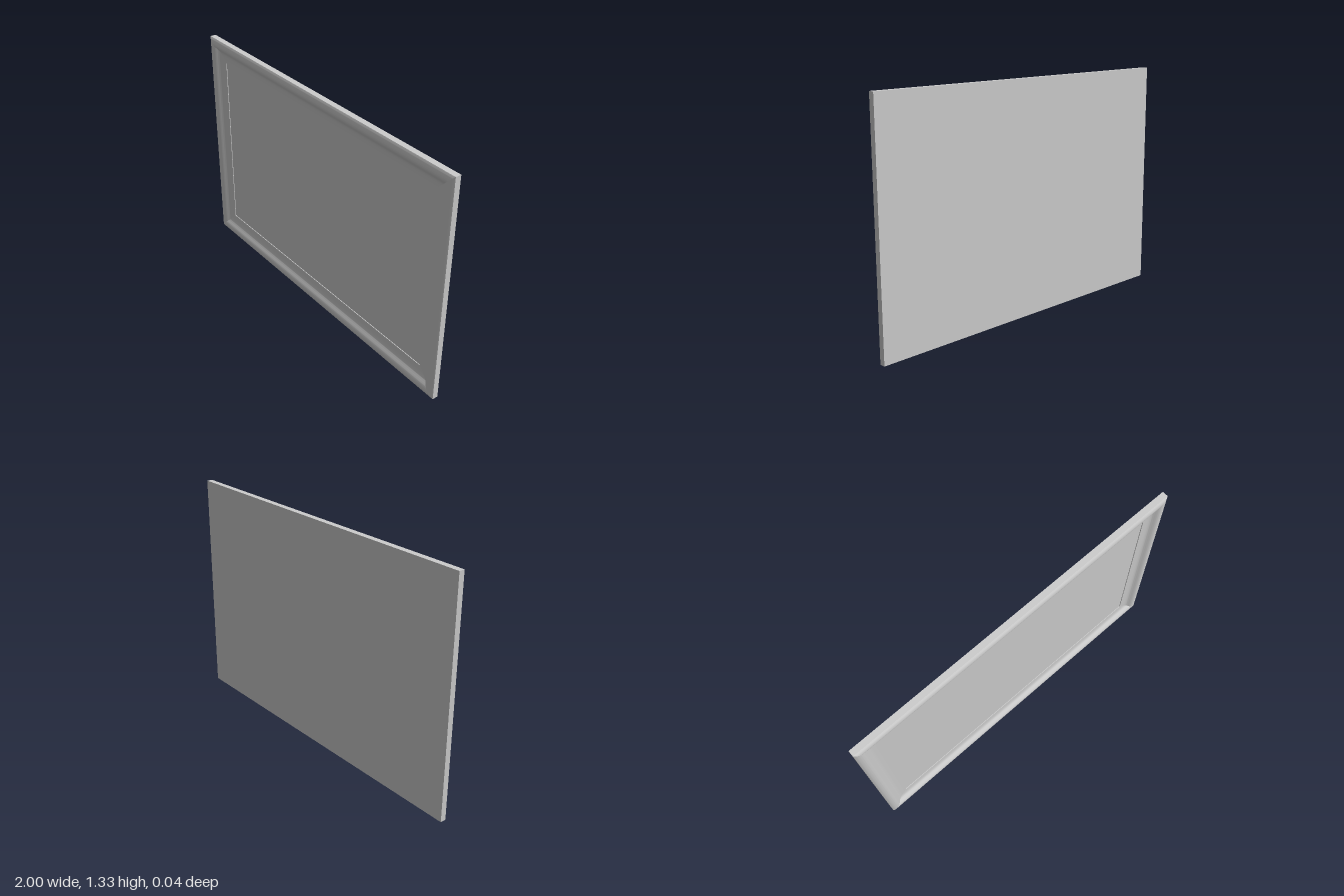
import * as THREE from 'three';
import { toCreasedNormals } from 'three/addons/utils/BufferGeometryUtils.js';

const W = 2, H = 1.325, BACK = -0.022, PANEL = -0.01, INSET = 0.13;

// Moulding section as [inset from the outer edge, z]: rounded bead, ogee, flat inner band, lip
function mouldingProfile() {
  const face = new THREE.SplineCurve([
    [0, 0.011], [0.012, 0.018], [0.03, 0.022], [0.045, 0.019], [0.058, 0.011],
    [0.07, 0.002], [0.085, -0.003], [0.105, -0.005], [INSET, -0.006],
  ].map(([d, z]) => new THREE.Vector2(d, z)));
  const pts = face.getPoints(32).map((p) => [Math.max(0, p.x), p.y]);
  return [[0, -0.018], ...pts, [INSET, PANEL]];
}

// One mitred rail, lying along x with its outer edge at y = -across / 2
function railGeometry(length, across, profile) {
  const pos = [], index = [];
  profile.forEach(([d, z], i) => {
    const x = length / 2 - d, y = -across / 2 + d;
    pos.push(-x, y, z, x, y, z);
    if (i > 0) {
      const a = 2 * (i - 1);
      index.push(a, a + 1, a + 3, a, a + 3, a + 2);
    }
  });
  const g = new THREE.BufferGeometry();
  g.setAttribute('position', new THREE.Float32BufferAttribute(pos, 3));
  g.setIndex(index);
  return toCreasedNormals(g, 0.6);
}

export function createModel() {
  const model = new THREE.Group();
  const material = new THREE.MeshStandardMaterial({ color: 0xcccccc });
  const add = (name, geometry) => {
    const mesh = new THREE.Mesh(geometry, material);
    mesh.name = name;
    mesh.position.y = H / 2;
    model.add(mesh);
    return mesh;
  };

  // Four mitred rails around the picture
  const profile = mouldingProfile();
  ['bottomRail', 'leftRail', 'topRail', 'rightRail'].forEach((name, i) => {
    const upright = i % 2 === 1;
    const g = railGeometry(upright ? H : W, upright ? W : H, profile);
    add(name, g).rotation.z = i * Math.PI / 2;
  });

  // Thin backing board closing the rear
  const board = new THREE.BoxGeometry(W, H, 0.004);
  board.translate(0, 0, BACK + 0.002);
  add('backingBoard', board);

  // Flat picture panel inside the moulding
  const panel = new THREE.PlaneGeometry(W - 2 * INSET, H - 2 * INSET);
  panel.translate(0, 0, PANEL);
  add('picturePanel', panel);

  return model;
}
